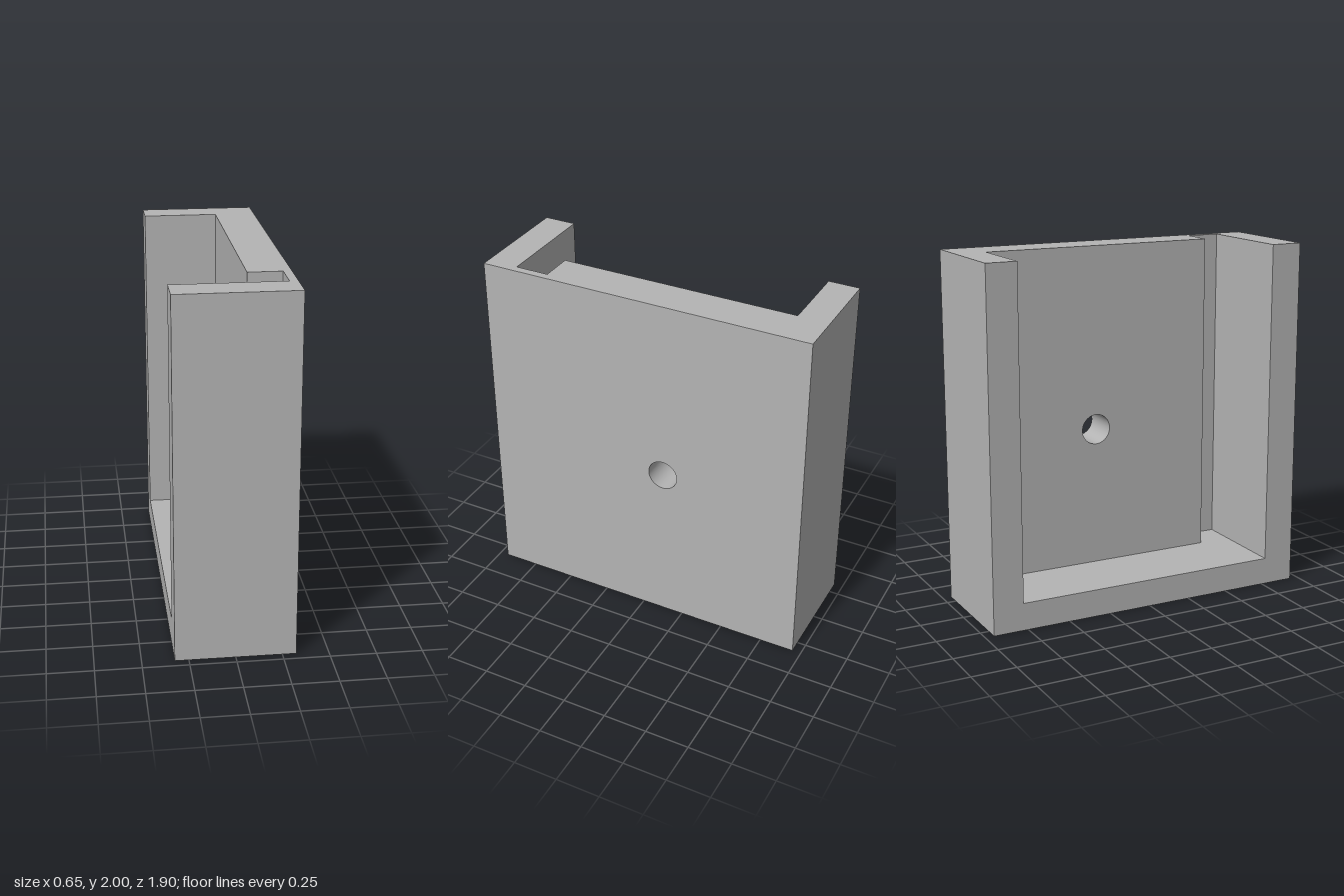
import * as THREE from 'three';

const TOP = 2, HALF = 0.95, FLOOR = 0.155;
const X = [-0.325, 0.095, 0.28, 0.325]; // open side, panel face, channel bottom, outer face
const WALL_BACK = -0.775, WALL_FRONT = 0.77, CHANNEL = 0.58;

// Full side outline, with an open-topped recess between z0 and z1 when given
function sideShape(z0, z1) {
  const pts = [[-HALF, 0], [HALF, 0], [HALF, TOP]];
  if (z0 !== undefined) pts.push([z1, TOP], [z1, FLOOR], [z0, FLOOR], [z0, TOP]);
  pts.push([-HALF, TOP]);
  // shape x is -z, so reverse to keep the outline counter-clockwise
  return new THREE.Shape(pts.map(([z, y]) => new THREE.Vector2(-z, y)).reverse());
}

// Round through-hole
function drill(shape) {
  shape.holes.push(new THREE.Path().absarc(0.127, 0.951, 0.086, 0, Math.PI * 2, true));
  return shape;
}

export function createModel() {
  const group = new THREE.Group();
  group.name = 'bracket';
  const grey = new THREE.MeshStandardMaterial({ color: 0xb4b4b4 });
  grey.name = 'grey';

  // Layers stacked along x, from the open side to the outer face
  const layer = (name, shape, i) => {
    const geo = new THREE.ExtrudeGeometry(shape, {
      depth: X[i + 1] - X[i], bevelEnabled: false, curveSegments: 48,
    });
    geo.rotateY(Math.PI / 2).translate(X[i], 0, 0);
    const mesh = new THREE.Mesh(geo, grey);
    mesh.name = name;
    group.add(mesh);
  };
  layer('wallsAndFloor', sideShape(WALL_BACK, WALL_FRONT), 0);
  layer('channelPanel', drill(sideShape(CHANNEL, WALL_FRONT)), 1);
  layer('outerPanel', drill(sideShape()), 2);
  return group;
}
